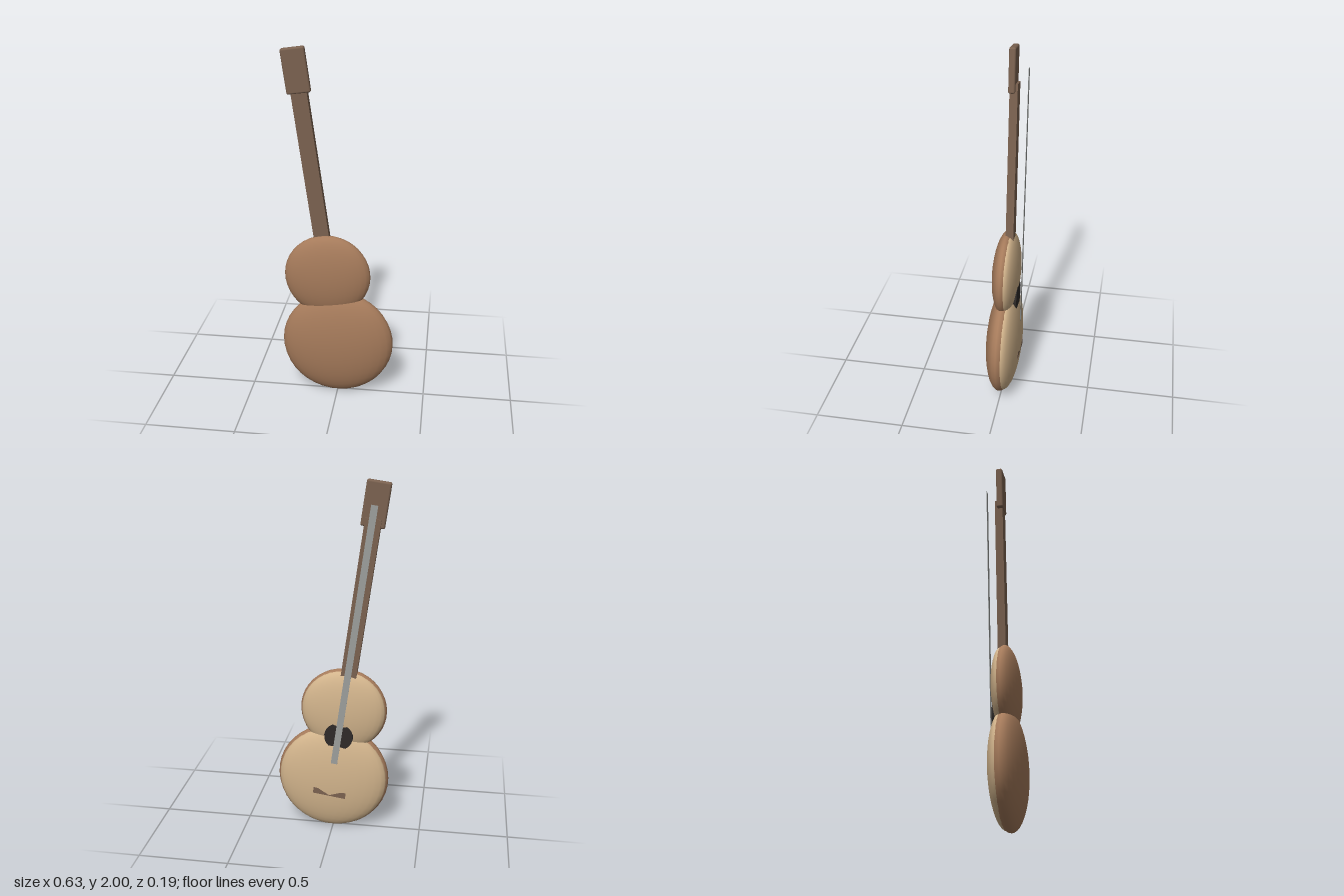
import * as THREE from 'three';
import { RoundedBoxGeometry } from 'three/addons/geometries/RoundedBoxGeometry.js';

const material = (name, color) => {
  const m = new THREE.MeshStandardMaterial({ color });
  m.name = name;
  return m;
};

export function createModel() {
  const shellBrown = material('shell brown', 0xa67b5b);
  const tan = material('soundboard tan', 0xd2b48c);
  const darkWood = material('dark wood', 0x7b6250);
  const black = material('hole black', 0x2e2a28);
  const steel = material('string grey', 0x9c9e9c);

  // The instrument leans sideways; its playing face points to -z
  const guitar = new THREE.Group();
  guitar.name = 'guitar';
  guitar.position.y = 0.315;
  guitar.rotation.z = 0.14;

  const add = (name, geometry, mat, y, z) => {
    const mesh = new THREE.Mesh(geometry, mat);
    mesh.name = name;
    mesh.position.set(0, y, z);
    guitar.add(mesh);
    return mesh;
  };
  const disc = (name, radius, depth, mat, y, z) =>
    add(name, new THREE.SphereGeometry(1, 28, 20), mat, y, z).scale.set(radius, radius, depth);

  // Flattened body bouts, each with a slightly smaller soundboard set behind
  disc('lowerBout', 0.315, 0.094, shellBrown, 0, 0);
  disc('upperBout', 0.24, 0.072, shellBrown, 0.419, 0);
  disc('lowerSoundboard', 0.305, 0.077, tan, 0, -0.02);
  disc('upperSoundboard', 0.232, 0.061, tan, 0.419, -0.016);

  // Sound hole in the waist
  const hole = new THREE.CylinderGeometry(0.08, 0.08, 0.02, 20).rotateX(Math.PI / 2);
  add('soundHole', hole, black, 0.28, -0.063);

  // Bridge, half sunk in the soundboard
  add('bridge', new THREE.BoxGeometry(0.185, 0.035, 0.02), darkWood, -0.068, -0.084);

  // Neck and head
  add('neck', new THREE.BoxGeometry(0.085, 0.9, 0.043), darkWood, 1.05, -0.0185);
  add('head', new RoundedBoxGeometry(0.127, 0.237, 0.036, 3, 0.01), darkWood, 1.572, -0.01);

  // Flat band of strings
  add('strings', new THREE.BoxGeometry(0.036, 1.46, 0.002), steel, 0.85, -0.09);

  const model = new THREE.Group();
  model.name = 'model';
  model.add(guitar);
  return model;
}
